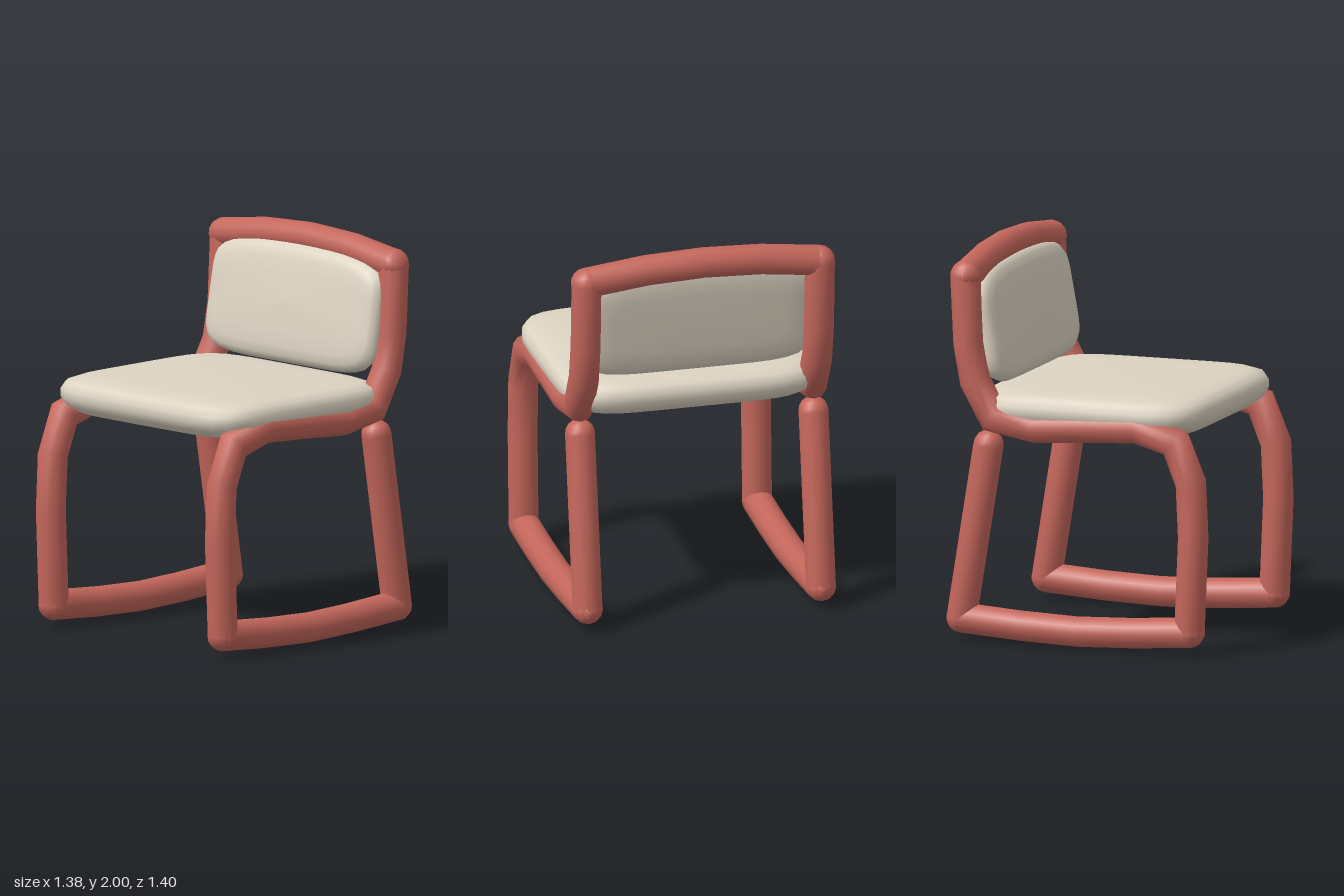
import * as THREE from 'three';

const RED = new THREE.MeshStandardMaterial({ color: 0xc4665b });
const CREAM = new THREE.MeshStandardMaterial({ color: 0xdcd3c2 });
const R = 0.078; // tube radius
const SIDES = 12;

// Skins a list of equally long closed rings of points with smooth normals.
function loft(rings) {
  const n = rings[0].length;
  const index = [];
  for (let i = 0; i < rings.length - 1; i++) {
    for (let j = 0; j < n; j++) {
      const a = i * n + j, b = i * n + (j + 1) % n;
      index.push(a, a + n, b, b, a + n, b + n);
    }
  }
  const geometry = new THREE.BufferGeometry().setFromPoints(rings.flat());
  geometry.setIndex(index);
  geometry.computeVertexNormals();
  return geometry;
}

// Mitred tube with rounded ends along a path lying across the given axis.
function tube(points, axis) {
  const path = points.map((p) => new THREE.Vector3(...p));
  const last = path.length - 1;
  const direction = (i) => path[i + 1].clone().sub(path[i]).normalize();
  const ring = (centre, tangent, radius, stretch = 1) => {
    const normal = tangent.clone().cross(axis).normalize();
    return Array.from({ length: SIDES }, (_, j) => {
      const a = (j / SIDES) * Math.PI * 2;
      return centre.clone()
        .addScaledVector(normal, Math.cos(a) * radius * stretch)
        .addScaledVector(axis, Math.sin(a) * radius);
    });
  };
  const cap = (end, tangent, sign) => [90, 65, 40, 18].map((deg) => {
    const a = THREE.MathUtils.degToRad(deg);
    const centre = end.clone().addScaledVector(tangent, sign * R * Math.sin(a));
    return ring(centre, tangent, R * Math.cos(a));
  });
  const start = direction(0), finish = direction(last - 1);
  const body = path.map((p, i) => {
    const before = direction(Math.max(i - 1, 0));
    const after = direction(Math.min(i, last - 1));
    const tangent = before.clone().add(after).normalize();
    return ring(p, tangent, R, 1 / tangent.dot(after));
  });
  return loft([...cap(path[0], start, -1), ...body, ...cap(path[last], finish, 1).reverse()]);
}

// Pillow with a rounded-rectangle plan; profile rows are [inset, height], bottom to top.
function cushion(halfX, halfZ, power, profile) {
  const count = 64;
  return loft(profile.map(([inset, y]) => Array.from({ length: count }, (_, j) => {
    const a = (j / count) * Math.PI * 2;
    const c = Math.cos(a), s = Math.sin(a);
    const r = (Math.abs(c) ** power + Math.abs(s) ** power) ** (-1 / power);
    return new THREE.Vector3(
      c * r * Math.max(halfX - inset, 0), y, s * r * Math.max(halfZ - inset, 0));
  })));
}

export function createModel() {
  const chair = new THREE.Group();
  chair.name = 'chair';
  const add = (name, geometry, material) => {
    const mesh = new THREE.Mesh(geometry, material);
    mesh.name = name;
    chair.add(mesh);
    return mesh;
  };

  // Side frames as [z, y] paths
  const sidePaths = {
    FrontLegAndBackPost: [
      [0.605, 0.115], [0.625, 0.6], [0.612, 0.88], [0.53, 1.08], [0.32, 1.142],
      [0, 1.126], [-0.23, 1.11], [-0.45, 1.15], [-0.55, 1.33], [-0.585, 1.52], [-0.602, 1.868],
    ],
    FloorRail: [[0.605, 0.113], [0.3, 0.091], [0, 0.08], [-0.3, 0.091], [-0.622, 0.113]],
    RearLeg: [[-0.622, 0.115], [-0.478, 1.008]],
  };
  const xAxis = new THREE.Vector3(1, 0, 0);
  for (const [side, x] of [['left', 0.61], ['right', -0.61]]) {
    for (const [part, path] of Object.entries(sidePaths)) {
      add(side + part, tube(path.map(([z, y]) => [x, y, z]), xAxis), RED);
    }
  }

  // Bowed bar joining the back posts
  const bar = [-0.61, -0.3, 0, 0.3, 0.61].map((x) => {
    const t = (x / 0.61) ** 2;
    return [x, 1.922 - 0.054 * t, -0.61 + 0.013 * t];
  });
  add('topBar', tube(bar, new THREE.Vector3(0, 0, 1)), RED);

  // Seat
  const seat = add('seatCushion', cushion(0.677, 0.605, 6, [
    [9, 1.083], [0.3, 1.083], [0.14, 1.09], [0.07, 1.105], [0.02, 1.14], [0, 1.18],
    [0, 1.22], [0.02, 1.257], [0.07, 1.277], [0.16, 1.286], [0.3, 1.29], [9, 1.29],
  ]), CREAM);
  seat.position.z = 0.025;

  // Backrest: its top edge droops towards the corners
  const back = cushion(0.605, 0.305, 6, [
    [9, -0.06], [0.15, -0.06], [0.06, -0.055], [0.015, -0.035], [0, -0.005],
    [0.008, 0.025], [0.035, 0.048], [0.08, 0.058], [0.16, 0.064], [9, 0.068],
  ]);
  const p = back.attributes.position;
  for (let i = 0; i < p.count; i++) {
    const up = Math.max(-p.getZ(i) / 0.305, 0);
    p.setZ(i, p.getZ(i) + 0.035 * up * (p.getX(i) / 0.6) ** 2);
  }
  back.computeVertexNormals();
  const backrest = add('backCushion', back, CREAM);
  backrest.position.set(0, 1.597, -0.508);
  backrest.rotation.x = Math.PI / 2 - 0.18;

  return chair;
}
